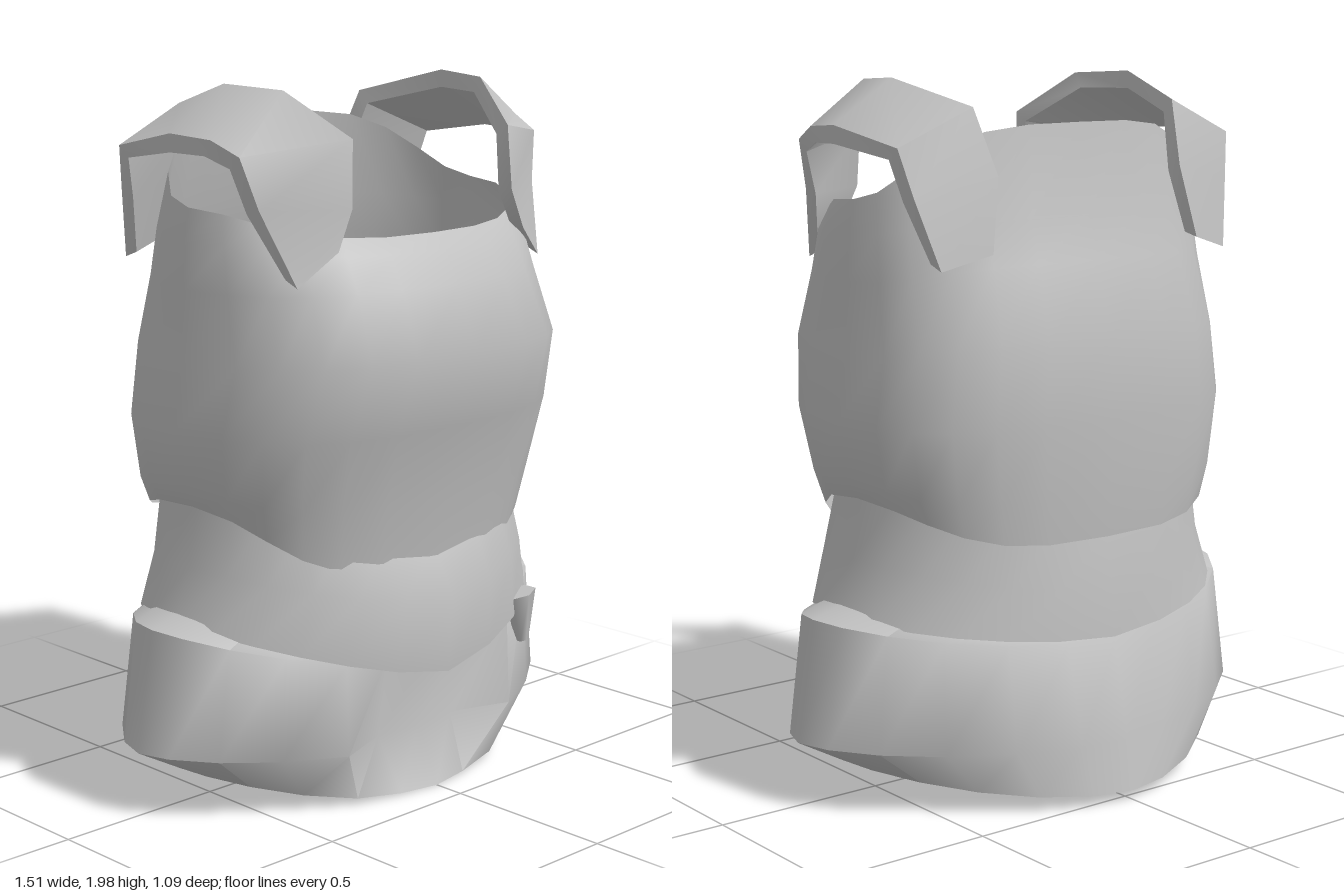
import * as THREE from 'three';
import { toCreasedNormals } from 'three/addons/utils/BufferGeometryUtils.js';

const COLS = 24;

// Skin between closed rings of points, listed from bottom to top
function loft(rings, capped = false, crease = 0.9) {
  const n = rings[0].length, index = [];
  for (let i = 0; i < rings.length - 1; i++) {
    for (let j = 0; j < n; j++) {
      const a = i * n + j, b = i * n + (j + 1) % n;
      index.push(a, b, b + n, a, b + n, a + n);
    }
  }
  if (capped) {
    const e = (rings.length - 1) * n;
    for (let j = 1; j < n - 1; j++) index.push(0, j + 1, j, e, e + j, e + j + 1);
  }
  const g = new THREE.BufferGeometry();
  g.setAttribute('position', new THREE.Float32BufferAttribute(rings.flat(2), 3));
  g.setIndex(index);
  g.computeVertexNormals();
  return toCreasedNormals(g, crease);
}

// Body section: heights at front, side and back, half width, front and back depth,
// roundness, and scale of the recess in the front. dip sets how heights blend across x.
function section([yF, yS, yB, w, zF, zB, power, recess = 1], dip) {
  const ring = [];
  for (let j = 0; j < COLS; j++) {
    const a = j / COLS * Math.PI * 2, s = Math.sin(a), c = Math.cos(a);
    const u = Math.abs(s) ** (2 / power);
    let z = (c > 0 ? zF : zB) * Math.abs(c) ** (2 / power);
    if (c > 0 && Math.abs(s) < 0.45) z *= recess;
    ring.push([w * Math.sign(s) * u, yS + ((c > 0 ? yF : yB) - yS) * (1 - u ** dip), z]);
  }
  return ring;
}

export function createModel() {
  const group = new THREE.Group();
  const grey = new THREE.MeshStandardMaterial({ color: 0xc0c0c0, side: THREE.DoubleSide });
  grey.name = 'plain grey';
  const add = (name, geometry) => {
    const mesh = new THREE.Mesh(geometry, grey);
    mesh.name = name;
    group.add(mesh);
    return mesh;
  };
  const body = (name, dip, rows) => add(name, loft(rows.map(r => section(r, dip))));

  // Vest with low front neckline, cut armholes and a back collar leaning inwards
  body('vest', 4, [
    [0.67, 0.85, 0.74, 0.55, 0.40, -0.42, 2.7],
    [0.86, 0.90, 0.86, 0.58, 0.43, -0.43, 2.7],
    [1.07, 1.07, 1.07, 0.61, 0.48, -0.435, 2.7],
    [1.28, 1.26, 1.30, 0.58, 0.545, -0.43, 2.7],
    [1.46, 1.45, 1.50, 0.57, 0.47, -0.37, 2.5],
    [1.55, 1.58, 1.62, 0.565, 0.42, -0.33, 2.5],
    [1.59, 1.67, 1.87, 0.55, 0.38, -0.29, 2.3],
  ]);

  // Wide waist belt dipping to a point at the front
  body('belt', 1.3, [
    [0.36, 0.53, 0.46, 0.62, 0.45, -0.45, 2.2],
    [0.58, 0.68, 0.60, 0.565, 0.465, -0.44, 2.2],
    [0.71, 0.87, 0.75, 0.53, 0.39, -0.41, 2.4],
  ]);

  // Flared skirt with recessed front panel, pointed back and closed underside
  body('skirt', 2, [
    [0.10, 0.10, 0.10, 0.01, 0.01, -0.01, 2],
    [0.01, 0.11, 0.04, 0.61, 0.43, -0.54, 1.7, 0.95],
    [0.17, 0.19, 0.18, 0.755, 0.46, -0.51, 1.65, 0.72],
    [0.41, 0.53, 0.46, 0.70, 0.44, -0.45, 1.8, 0.86],
    [0.46, 0.57, 0.50, 0.57, 0.39, -0.42, 2, 0.95],
  ]);

  // Shoulder straps: inner and outer edge points from front end to back end
  const stations = [
    [0.36, 1.57, 0.38, 0.47, 1.48, 0.34],
    [0.31, 1.68, 0.38, 0.53, 1.68, 0.26],
    [0.30, 1.86, 0.37, 0.57, 1.82, 0.23],
    [0.38, 1.98, 0.19, 0.59, 1.86, 0.14],
    [0.42, 1.99, 0.00, 0.61, 1.87, 0.00],
    [0.35, 1.92, -0.27, 0.58, 1.82, -0.25],
    [0.32, 1.74, -0.34, 0.55, 1.69, -0.28],
    [0.36, 1.54, -0.37, 0.50, 1.50, -0.33],
  ];
  // Move a strap point towards the shoulder opening to give thickness
  const under = ([x, y, z]) => {
    const d = Math.hypot(1.62 - y, z);
    return [x, y + (1.62 - y) / d * 0.05, z - z / d * 0.05];
  };
  for (const side of [1, -1]) {
    const rings = stations.map(p => {
      const inner = p.slice(0, 3), outer = p.slice(3);
      const ring = [inner, outer, under(outer), under(inner)].map(([x, y, z]) => [x * side, y, z]);
      return side > 0 ? ring : ring.reverse();
    });
    add(side > 0 ? 'leftStrap' : 'rightStrap', loft(rings, true, 0.8));
  }

  // Small hanging belt end
  const tie = add('beltTie', new THREE.CylinderGeometry(0.06, 0.02, 0.15, 6));
  tie.position.set(0.39, 0.42, 0.37);
  tie.rotation.z = 0.15;
  tie.scale.z = 0.7;

  return group;
}
